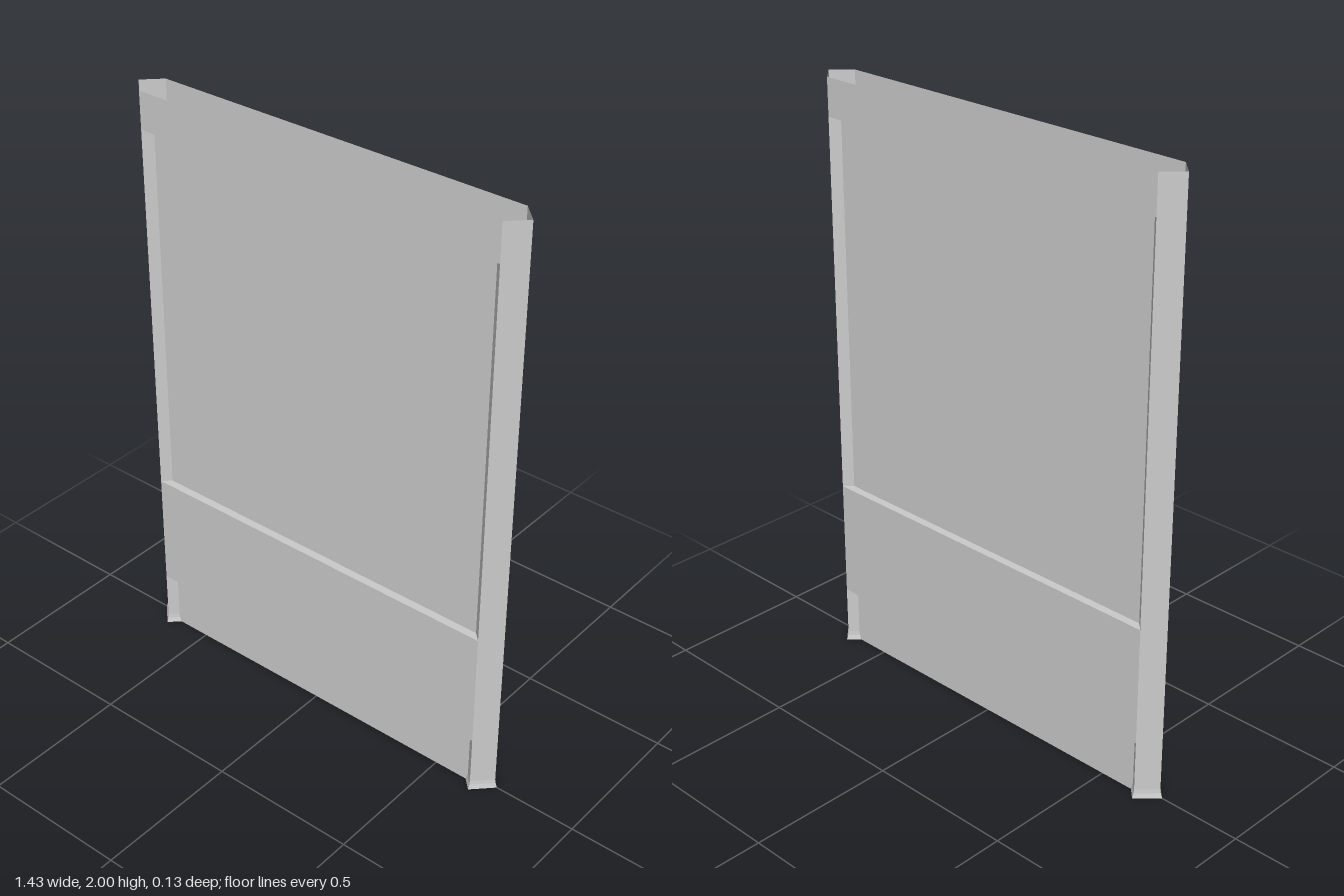
import * as THREE from 'three';

const POST_X = 0.652, R = 0.057, PANEL_Z = 0.03, TOP = 2;
const RAILS = { middleRail: [0.2, 0.6], topRail: [1.875, TOP] };

export function createModel() {
  const model = new THREE.Group();
  const material = new THREE.MeshStandardMaterial({
    color: 0xcccccc, flatShading: true, side: THREE.DoubleSide,
  });

  function add(name, geometry, parent = model) {
    const mesh = new THREE.Mesh(geometry, material);
    mesh.name = name;
    parent.add(mesh);
    return mesh;
  }

  // Upright sheets on the front and back, at depth z, with half width w
  function sheets(name, w, z, y0, y1) {
    for (const side of [1, -1]) {
      const mesh = add((side > 0 ? 'front' : 'back') + name, new THREE.PlaneGeometry(2 * w, y1 - y0));
      mesh.position.set(0, (y0 + y1) / 2, side * z);
      if (side < 0) mesh.rotation.y = Math.PI;
    }
  }

  // Horizontal plate whose ends are notched around the diamond posts
  function ledge(name, y, facing) {
    const shape = new THREE.Shape([
      [-POST_X, -R], [POST_X, -R], [POST_X - R, 0],
      [POST_X, R], [-POST_X, R], [-POST_X + R, 0],
    ].map(([x, z]) => new THREE.Vector2(x, z)));
    const mesh = add(name, new THREE.ShapeGeometry(shape));
    mesh.position.y = y;
    mesh.rotation.x = -facing * Math.PI / 2;
  }

  // Hollow diamond posts with a flared foot; only the outer walls reach the top
  const profile = [[R + 0.008, 0], [R + 0.002, 0.016], [R, 0.03], [R, 1.875]]
    .map(([r, y]) => new THREE.Vector2(r, y));
  const crown = [new THREE.Vector2(R, 1.875), new THREE.Vector2(R, TOP)];
  for (const side of [1, -1]) {
    const post = new THREE.Group();
    post.name = side > 0 ? 'leftPost' : 'rightPost';
    post.position.x = side * POST_X;
    if (side < 0) post.rotation.y = Math.PI;
    add('postTube', new THREE.LatheGeometry(profile, 4), post);
    add('postTop', new THREE.LatheGeometry(crown, 2, 0, Math.PI), post);
    model.add(post);
  }

  // Recessed panels below and above the middle rail
  const panelW = POST_X - R + PANEL_Z;
  sheets('LowerPanel', panelW, PANEL_Z, 0, 0.2);
  sheets('UpperPanel', panelW, PANEL_Z, 0.6, 1.875);

  // Rails standing proud of the panels; the top one is open above
  for (const [name, [y0, y1]] of Object.entries(RAILS)) {
    sheets(name[0].toUpperCase() + name.slice(1), POST_X, R, y0, y1);
    ledge(name + 'Underside', y0, -1);
    if (y1 < TOP) ledge(name + 'Ledge', y1, 1);
  }

  return model;
}
